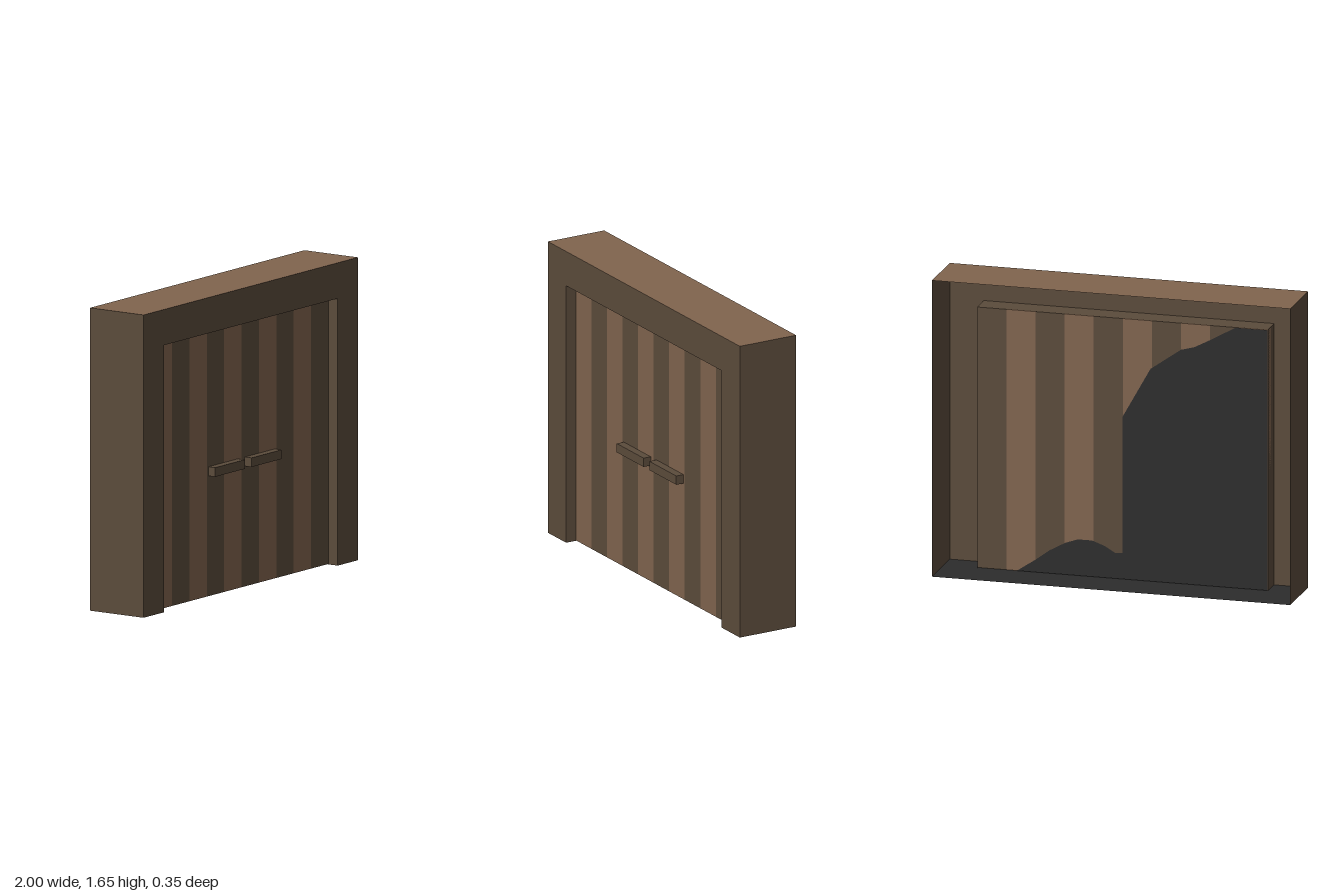
import * as THREE from 'three';

const mat = (name, color) => {
  const m = new THREE.MeshStandardMaterial({ color, side: THREE.DoubleSide });
  m.name = name;
  return m;
};

export function createModel() {
  const darkWood = mat('dark wood', 0x5b4b3b);
  const lightWood = mat('light wood', 0x80644e);
  const charcoal = mat('charcoal', 0x2c2c2c);
  const root = new THREE.Group();
  root.name = 'doorway';

  const W = 1, H = 1.655, D = 0.176;     // half width, height, half depth
  const w = 0.81, h = 1.46;              // opening half width and height
  const doorBack = 0.054, doorFront = 0.115;

  const add = (name, geometry, material, x = 0, y = 0, z = 0) => {
    const mesh = new THREE.Mesh(geometry, material);
    mesh.name = name;
    mesh.position.set(x, y, z);
    root.add(mesh);
    return mesh;
  };
  const shape = (pts) => new THREE.ShapeGeometry(new THREE.Shape(pts.map(([x, y]) => new THREE.Vector2(x, y))));

  // Front face of the surround, an arch of three straight members
  add('frontFrame', shape([[-W, 0], [-w, 0], [-w, h], [w, h], [w, 0], [W, 0], [W, H], [-W, H]]), darkWood, 0, 0, D);

  // Hollow shell, open at the back: roof, sides and the jambs of the recess
  add('roof', new THREE.PlaneGeometry(2 * W, 2 * D).rotateX(-Math.PI / 2), lightWood, 0, H, 0);
  const recess = D - doorBack, recessZ = (D + doorBack) / 2;
  for (const s of [-1, 1]) {
    add('sideWall', new THREE.PlaneGeometry(2 * D, H).rotateY(s * Math.PI / 2), darkWood, s * W, H / 2, 0);
    add('jamb', new THREE.PlaneGeometry(recess, h).rotateY(-s * Math.PI / 2), darkWood, s * w, h / 2, recessZ);
  }
  add('lintelUnderside', new THREE.PlaneGeometry(2 * w, recess).rotateX(Math.PI / 2), darkWood, 0, h, recessZ);

  // Floor, notched at the front below the opening
  const notch = 0.1;
  add('floor', shape([[-W, -D], [W, -D], [W, D], [w, D], [w, notch], [-w, notch], [-w, D], [-W, D]]).rotateX(Math.PI / 2), charcoal);

  // Ten door planks in alternating wood
  const count = 10, pw = 2 * w / count;
  for (let i = 0; i < count; i++) {
    add('doorPlank', new THREE.BoxGeometry(pw, h - 0.005, doorFront - doorBack), i % 2 ? darkWood : lightWood,
      -w + (i + 0.5) * pw, h / 2, (doorFront + doorBack) / 2);
  }

  // Two pull handles
  for (const s of [-1, 1]) {
    add('handle', new THREE.BoxGeometry(0.28, 0.05, 0.045), darkWood, s * 0.17, 0.685, doorFront + 0.0225);
  }

  // Dark patch on the rear of the door
  add('rearDarkPatch', shape([
    [-w, 0.003], [0.59, 0.003], [0.55, 0.03], [0.49, 0.07], [0.41, 0.13], [0.32, 0.18], [0.25, 0.205], [0.17, 0.205],
    [0.1, 0.18], [0.04, 0.145], [0, 0.15], [0, 0.91], [-0.156, 1.19], [-0.326, 1.31], [-0.4, 1.33],
    [-0.476, 1.37], [-0.63, h - 0.003], [-w, h - 0.003],
  ]), charcoal, 0, 0, doorBack - 0.004);

  return root;
}
